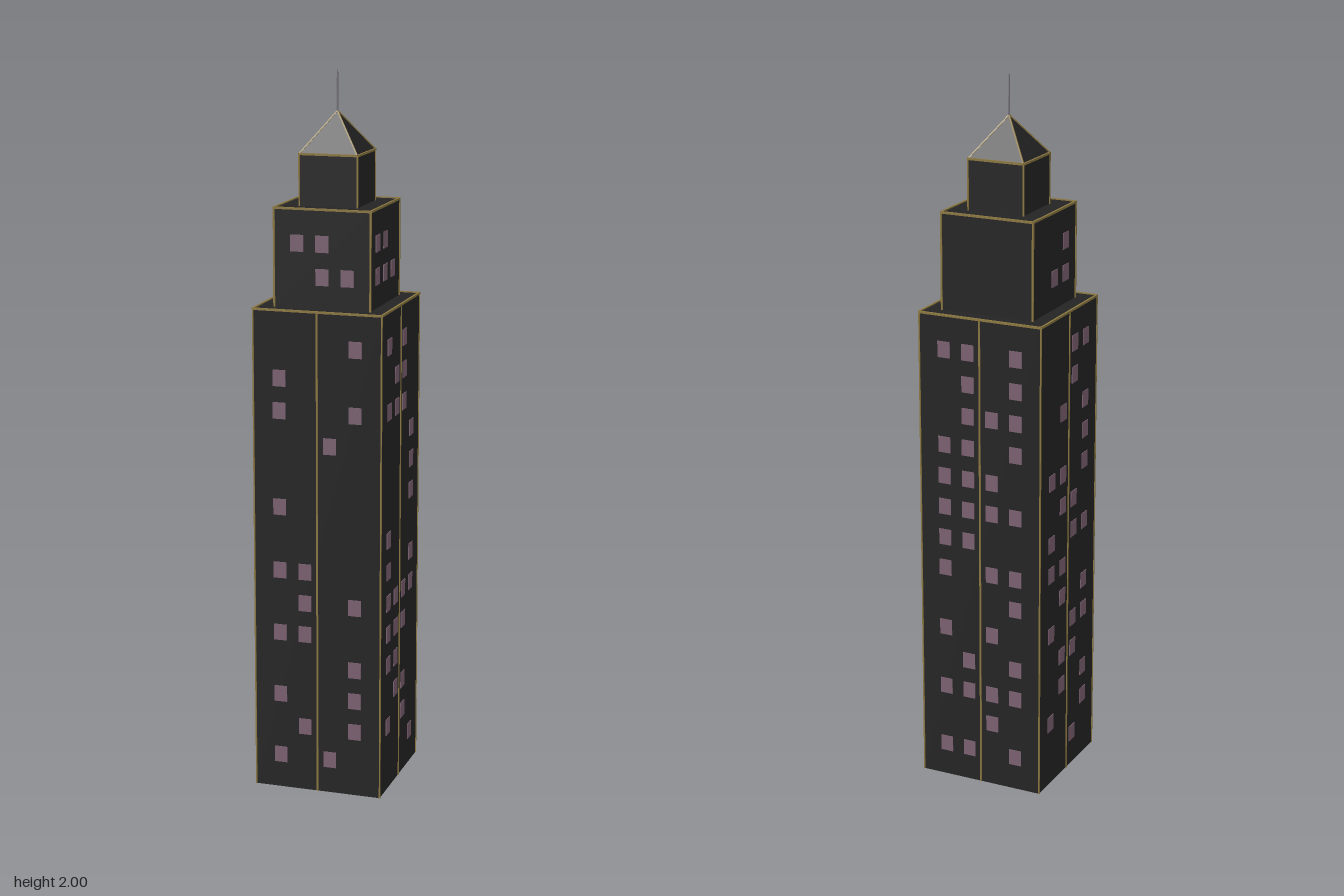
import * as THREE from 'three';

const mat = (name, color, side = THREE.FrontSide) => {
  const m = new THREE.MeshStandardMaterial({ color, side });
  m.name = name;
  return m;
};

export function createModel() {
  const model = new THREE.Group();
  model.name = 'tower';
  const stone = mat('charcoal', 0x242424, THREE.DoubleSide);
  const gold = mat('brass', 0x8a7640);
  const pane = mat('dusky window', 0x7a6070);
  const steel = mat('steel', 0x77747a);

  const add = (name, geo, material, parent = model) => {
    const mesh = new THREE.Mesh(geo, material);
    mesh.name = name;
    parent.add(mesh);
    return mesh;
  };
  // Square bar between two points
  const bar = (name, a, b, t, parent) => {
    const d = b.clone().sub(a);
    const mesh = add(name, new THREE.BoxGeometry(t, d.length(), t), gold, parent);
    mesh.position.copy(a).add(b).multiplyScalar(0.5);
    mesh.quaternion.setFromUnitVectors(new THREE.Vector3(0, 1, 0), d.normalize());
  };
  const v = (x, y, z) => new THREE.Vector3(x, y, z);
  const corners = (h, y) => [v(h, y, h), v(h, y, -h), v(-h, y, -h), v(-h, y, h)];

  // Stacked blocks, open underneath, with brass edging
  const tiers = [
    { name: 'shaft', h: 0.182, y0: 0, y1: 1.37, t: 0.004 },
    { name: 'upperBlock', h: 0.136, y0: 1.37, y1: 1.64, t: 0.005 },
    { name: 'crown', h: 0.082, y0: 1.64, y1: 1.78, t: 0.004 },
  ];
  for (const { name, h, y0, y1, t } of tiers) {
    const geo = new THREE.BoxGeometry(2 * h, y1 - y0, 2 * h);
    const idx = Array.from(geo.index.array);
    idx.splice(18, 6); // drop the underside
    geo.setIndex(idx);
    geo.clearGroups();
    add(name, geo, stone).position.y = (y0 + y1) / 2;

    const trim = new THREE.Group();
    trim.name = name + 'Trim';
    model.add(trim);
    const low = corners(h, y0), top = corners(h, y1);
    for (let i = 0; i < 4; i++) {
      bar('rim', top[i], top[(i + 1) % 4], 0.006, trim);
      bar('cornerEdge', low[i], top[i], t, trim);
    }
  }

  // Pyramid roof with brass hips
  const roof = new THREE.ConeGeometry(0.082 * Math.SQRT2, 0.11, 4, 1, true).toNonIndexed();
  roof.rotateY(Math.PI / 4);
  roof.computeVertexNormals();
  add('roof', roof, stone).position.y = 1.835;
  for (const c of corners(0.082, 1.78)) bar('roofHip', c, v(0, 1.89, 0), 0.004, model);

  // Spire
  add('spire', new THREE.CylinderGeometry(0.002, 0.003, 0.12, 8), steel).position.y = 1.94;

  // Lit windows: columns per floor, bottom floor first, seen from outside
  const faces = [
    { name: 'front', turn: 0,
      floors: ['02', '13', '03', '3', '01', '13', '01', '', '0', '', '2', '03', '0', '3'],
      upper: ['12', '01'] },
    { name: 'left', turn: Math.PI / 2,
      floors: ['3', '02', '12', '01', '012', '0123', '03', '0', '3', '3', '3', '012', '12', '02'],
      upper: ['012', '01'] },
    { name: 'back', turn: Math.PI,
      floors: ['013', '2', '0123', '13', '02', '3', '023', '01', '0123', '012', '013', '123', '13', '013'],
      upper: ['', ''] },
    { name: 'right', turn: -Math.PI / 2,
      floors: ['2', '03', '13', '12', '023', '13', '01', '023', '12', '013', '3', '13', '2', '23'],
      upper: ['12', '2'] },
  ];
  const paneGeo = new THREE.BoxGeometry(0.037, 0.046, 0.004);
  for (const { name, turn, floors, upper } of faces) {
    const side = new THREE.Group();
    side.name = name + 'Facade';
    side.rotation.y = turn;
    model.add(side);
    floors.forEach((cols, i) => {
      for (const c of cols)
        add('window', paneGeo, pane, side).position.set((+c - 1.5) * 0.072, 0.097 + i * 0.0905, 0.182);
    });
    upper.forEach((cols, i) => {
      for (const c of cols)
        add('upperWindow', paneGeo, pane, side).position.set((+c - 1) * 0.071, 1.457 + i * 0.09, 0.136);
    });
    // Brass rib down the middle of the shaft
    bar('centreRib', v(0, 0, 0.182), v(0, 1.37, 0.182), 0.005, side);
  }
  return model;
}
